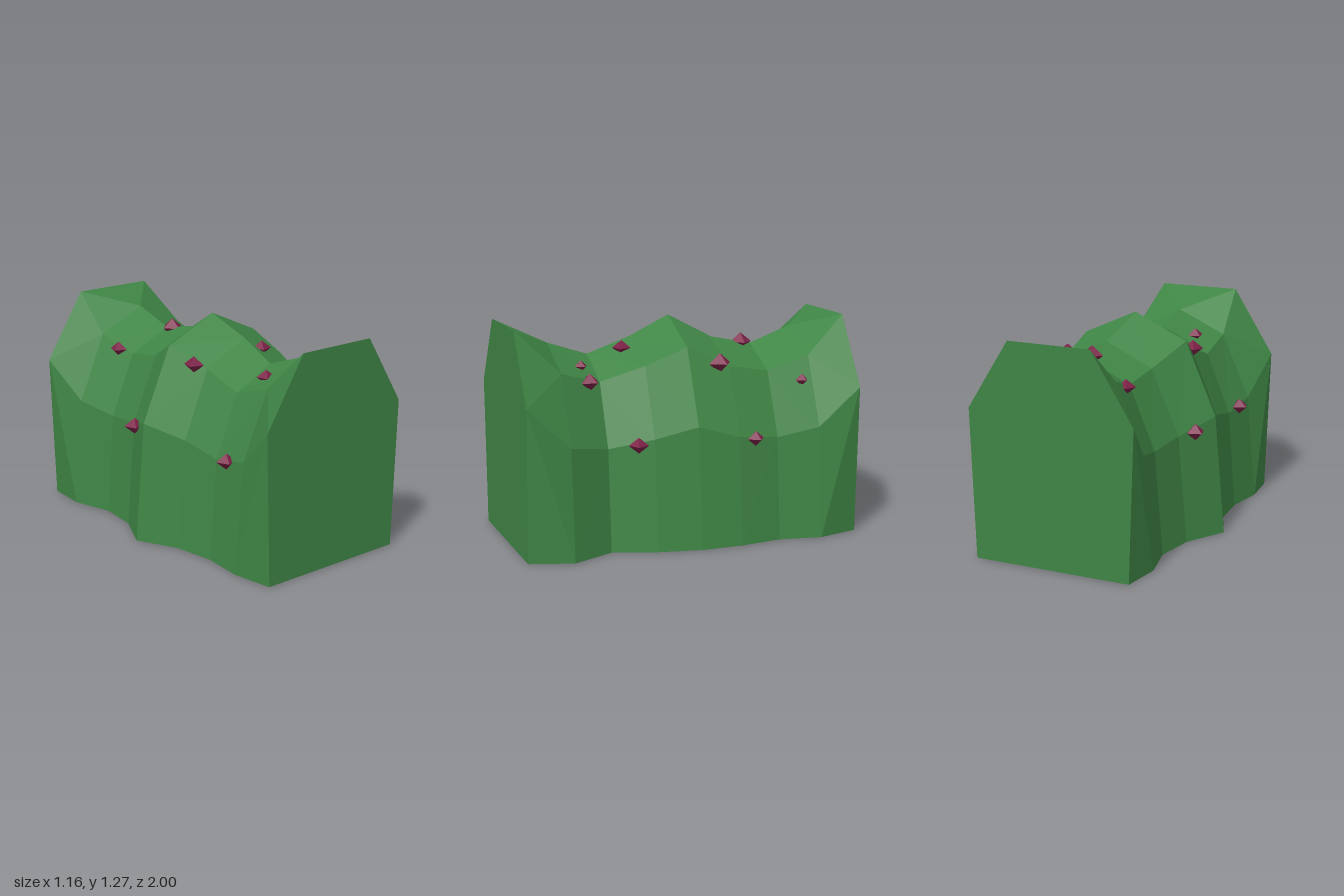
import * as THREE from 'three';

// Inner cross-sections: z, centre x, half width at the ground, ridge height
const SECTIONS = [
  [-0.75, 0.05, 0.525, 1.18],
  [-0.5, 0.06, 0.475, 1.09],
  [-0.25, 0.062, 0.513, 1.14],
  [0, 0, 0.58, 1.275],
  [0.25, 0.032, 0.503, 1.165],
  [0.5, 0.003, 0.447, 1.07],
  [0.75, 0.05, 0.528, 1.155],
];

// Ring order: ground, eave, shoulder, ridge, shoulder, eave, ground (from -x to +x)
function ring(z, c, half, heights) {
  const sides = [-1, -1, -1, 0, 1, 1, 1];
  return sides.map((s, i) => {
    const k = Math.min(i, 6 - i);
    return [c + s * half[k], heights[k], z];
  });
}

const innerRing = ([z, c, h, top]) =>
  ring(z, c, [h, 0.89 * h, 0.56 * h, 0], [0, 0.55 * top, 0.885 * top, top]);
const endRing = (z) => ring(z, 0.027, [0.475, 0.503, 0.25, 0], [0, 0.87, 1.267, 1.267]);

function geometryFrom(triangles) {
  const g = new THREE.BufferGeometry();
  g.setAttribute('position', new THREE.Float32BufferAttribute(triangles.flat(2), 3));
  g.computeVertexNormals();
  return g;
}

// Faceted skin between two rings; a has the smaller z
function skin(a, b, out) {
  const bIsEnd = b[0][2] === 1;
  for (let i = 0; i < 6; i++) {
    // Diagonals run from the end's eave and shoulder corners to the inner ring
    const endHigh = i === 0 || i === 3 || i === 4;
    const fromLowA = bIsEnd ? endHigh : !endHigh;
    if (fromLowA) out.push([a[i], b[i], b[i + 1]], [a[i], b[i + 1], a[i + 1]]);
    else out.push([a[i], b[i], a[i + 1]], [b[i], b[i + 1], a[i + 1]]);
  }
}

// Flat end wall as a fan
function cap(r, front) {
  const tris = [];
  for (let i = 1; i < 6; i++) {
    tris.push(front ? [r[0], r[i + 1], r[i]] : [r[0], r[i], r[i + 1]]);
  }
  return tris;
}

// Berries: x, y, z, radius, turn about y
const BERRIES = [
  [-0.235, 0.98, -0.6, 0.055, 0.4],
  [0.055, 1.1, -0.44, 0.068, 0],
  [0.39, 0.91, -0.69, 0.045, 0.3],
  [0.515, 0.61, -0.35, 0.055, 0.2],
  [0.35, 1.03, -0.19, 0.073, 0.25],
  [-0.46, 0.64, -0.16, 0.06, -0.5],
  [-0.29, 1.05, 0.18, 0.06, 0.5],
  [0.1, 1.11, 0.32, 0.055, -0.5],
  [0.465, 0.61, 0.34, 0.057, -0.3],
  [-0.12, 1.035, 0.6, 0.053, -0.6],
  [0.18, 1.03, 0.59, 0.043, 0.4],
  [0.29, 0.955, 0.57, 0.063, 0.5],
  [-0.42, 0.61, 0.61, 0.058, -0.4],
];

export function createModel() {
  const model = new THREE.Group();
  model.name = 'hedge';
  const leaf = new THREE.MeshStandardMaterial({ color: 0x3f8545, side: THREE.DoubleSide, flatShading: true });
  leaf.name = 'leaf green';
  const berryRed = new THREE.MeshStandardMaterial({ color: 0x7d2248, flatShading: true });
  berryRed.name = 'berry red';

  const add = (geometry, material, name) => {
    const mesh = new THREE.Mesh(geometry, material);
    mesh.name = name;
    model.add(mesh);
    return mesh;
  };

  // Hedge body, open underneath
  const rings = [endRing(-1), ...SECTIONS.map(innerRing), endRing(1)];
  const sides = [];
  for (let i = 0; i < rings.length - 1; i++) skin(rings[i], rings[i + 1], sides);
  add(geometryFrom(sides), leaf, 'foliage');
  add(geometryFrom(cap(rings[0], false)), leaf, 'backEnd');
  add(geometryFrom(cap(rings[rings.length - 1], true)), leaf, 'frontEnd');

  // Faceted berries half sunk into the foliage
  const berryShape = new THREE.OctahedronGeometry(1);
  BERRIES.forEach(([x, y, z, r, turn], i) => {
    const berry = add(berryShape, berryRed, `berry${i + 1}`);
    berry.position.set(x, y, z);
    berry.rotation.y = turn;
    berry.scale.set(r, r * 0.8, r);
  });
  return model;
}
